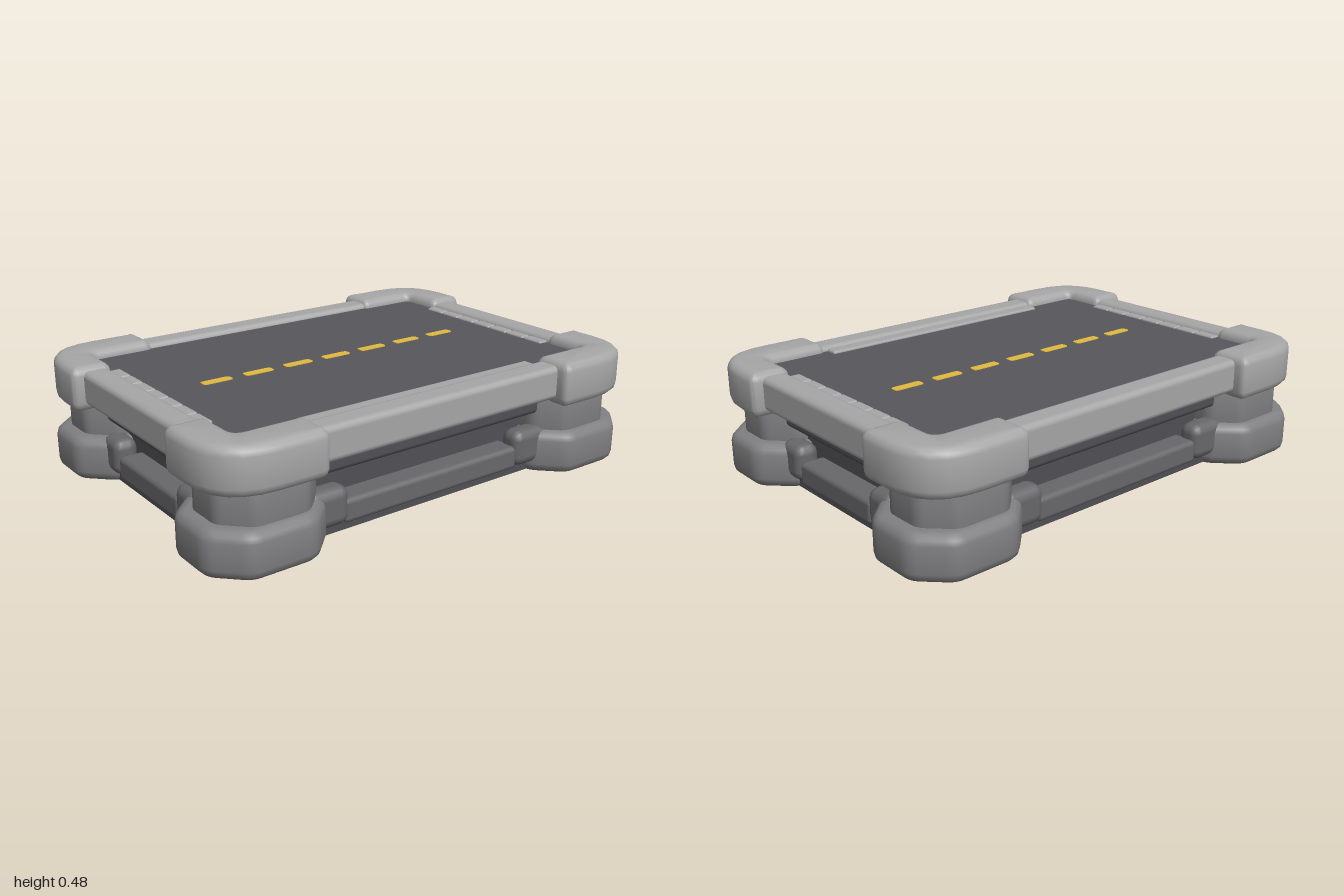
import * as THREE from 'three';
import { toCreasedNormals } from 'three/addons/utils/BufferGeometryUtils.js';
import { RoundedBoxGeometry } from 'three/addons/geometries/RoundedBoxGeometry.js';

const material = (name, color) => new THREE.MeshStandardMaterial({ name, color });

export function createModel() {
  const model = new THREE.Group();
  model.name = 'roadPlatform';
  const stone = material('light stone', 0xa6a6a6);
  const footStone = material('foot stone', 0x808082);
  const trim = material('dark trim', 0x68686b);
  const core = material('dark core', 0x505055);
  const asphalt = material('asphalt', 0x56565c);
  const yellow = material('yellow paint', 0xe0ba40);

  const add = (name, geometry, mat, x = 0, y = 0, z = 0) => {
    const mesh = new THREE.Mesh(geometry, mat);
    mesh.name = name;
    mesh.position.set(x, y, z);
    model.add(mesh);
    return mesh;
  };

  // Box given by its limits; a radius rounds the edges
  const block = (name, mat, x0, x1, y0, y1, z0, z1, r = 0) => {
    const [w, h, d] = [x1 - x0, y1 - y0, z1 - z0];
    const geometry = r ? new RoundedBoxGeometry(w, h, d, 2, r) : new THREE.BoxGeometry(w, h, d);
    return add(name, geometry, mat, (x0 + x1) / 2, (y0 + y1) / 2, (z0 + z1) / 2);
  };

  // Bevelled slab: a plan outline in x and z, between two heights
  const slab = (name, mat, shape, y0, y1, bevel) => {
    const geometry = new THREE.ExtrudeGeometry(shape, {
      depth: y1 - y0 - 2 * bevel, bevelThickness: bevel, bevelSize: bevel,
      bevelOffset: -bevel, bevelSegments: 3, curveSegments: 6,
    });
    geometry.rotateX(Math.PI / 2).translate(0, y1 - bevel, 0);
    return add(name, toCreasedNormals(geometry, 0.7), mat);
  };

  // Plan outline with a rounded corner at every point: [x, z, radius]
  const outline = (points, sx, sz) => {
    const shape = new THREE.Shape();
    const pts = points.map(([x, z]) => new THREE.Vector2(x * sx, z * sz));
    pts.forEach((p, i) => {
      const r = points[i][2];
      const prev = pts[(i + pts.length - 1) % pts.length];
      const next = pts[(i + 1) % pts.length];
      const a = p.clone().add(prev.clone().sub(p).setLength(r));
      const b = p.clone().add(next.clone().sub(p).setLength(r));
      if (i === 0) shape.moveTo(a.x, a.y);
      else shape.lineTo(a.x, a.y);
      shape.quadraticCurveTo(p.x, p.y, b.x, b.y);
    });
    shape.closePath();
    return shape;
  };

  // Rectangle with its corners cut off
  const octagon = (x0, x1, z0, z1, cut, r) => [
    [x0 + cut, z1, r], [x1 - cut, z1, r], [x1, z1 - cut, r], [x1, z0 + cut, r],
    [x1 - cut, z0, r], [x0 + cut, z0, r], [x0, z0 + cut, r], [x0, z1 - cut, r]];

  const cap = [[0.565, 0.725, 0.03], [1, 0.725, 0.24], [1, 0.365, 0.03],
    [0.835, 0.365, 0.03], [0.835, 0.555, 0.03], [0.565, 0.555, 0.03]];
  const neck = octagon(0.53, 0.94, 0.33, 0.685, 0.1, 0.03);
  const foot = octagon(0.5, 1, 0.285, 0.725, 0.12, 0.04);
  const sole = octagon(0.54, 0.96, 0.325, 0.685, 0.1, 0.03);

  // Four corner posts
  for (const sx of [-1, 1]) for (const sz of [-1, 1]) {
    slab('cornerCap', stone, outline(cap, sx, sz), 0.3, 0.48, 0.035);
    slab('cornerNeck', footStone, outline(neck, sx, sz), 0.15, 0.33, 0.015);
    slab('cornerFoot', footStone, outline(foot, sx, sz), 0.005, 0.185, 0.04);
    slab('footSole', core, outline(sole, sx, sz), 0, 0.008, 0.002);
    // Collars where the lower bars meet the feet
    const collarX = block('longCollar', trim, -0.09, 0.09, 0.05, 0.2, -0.05, 0.05, 0.04);
    collarX.position.set(sx * 0.5, 0.125, sz * 0.58);
    const collarZ = block('shortCollar', trim, -0.05, 0.05, 0.05, 0.2, -0.07, 0.07, 0.04);
    collarZ.position.set(sx * 0.855, 0.125, sz * 0.3);
  }

  // Recessed body, base plate and road deck
  block('body', core, -0.8, 0.8, 0.03, 0.41, -0.52, 0.52);
  block('basePlate', core, -0.87, 0.87, 0.015, 0.05, -0.59, 0.59);
  block('roadDeck', asphalt, -0.855, 0.855, 0.39, 0.441, -0.58, 0.58);

  // Long sides: top rail, ledge and lower bar
  for (const s of [-1, 1]) {
    const long = (name, mat, half, y0, y1, zIn, zOut, r) =>
      block(name, mat, -half, half, y0, y1, Math.min(s * zIn, s * zOut), Math.max(s * zIn, s * zOut), r);
    long('longRail', stone, 0.6, 0.325, 0.462, 0.565, 0.675, 0.025);
    long('longLedge', core, 0.56, 0.25, 0.34, 0.48, 0.6, 0.02);
    long('longLowerBar', trim, 0.43, 0.045, 0.14, 0.5, 0.615, 0.02);
  }

  // Short sides: top rail, ledge, lower bar and inner blocks
  for (const s of [-1, 1]) {
    const short = (name, mat, half, y0, y1, xIn, xOut, r) =>
      block(name, mat, Math.min(s * xIn, s * xOut), Math.max(s * xIn, s * xOut), y0, y1, -half, half, r);
    short('shortRail', stone, 0.4, 0.325, 0.462, 0.845, 0.955, 0.025);
    short('shortLedge', core, 0.36, 0.25, 0.34, 0.76, 0.88, 0.02);
    short('shortLowerBar', trim, 0.24, 0.045, 0.14, 0.78, 0.895, 0.02);
    for (let i = 0; i < 7; i++) {
      const z = -0.32 + i * 0.105;
      block('innerBlock', stone, s * 0.825 - 0.024, s * 0.825 + 0.024, 0.41, 0.449, z - 0.049, z + 0.049, 0.008);
    }
  }

  // Curb strip inside the front rail
  block('frontCurb', stone, -0.57, 0.55, 0.41, 0.452, 0.51, 0.57, 0.01);

  // Dashed centre line
  const dash = outline([[-0.065, -0.02, 0.015], [0.065, -0.02, 0.015],
    [0.065, 0.02, 0.015], [-0.065, 0.02, 0.015]], 1, 1);
  for (let i = -3; i <= 3; i++) {
    const geometry = new THREE.ExtrudeGeometry(dash, { depth: 0.006, bevelEnabled: false, curveSegments: 3 });
    add('roadDash', geometry.rotateX(Math.PI / 2), yellow, i * 0.188, 0.444, -0.025);
  }
  return model;
}
